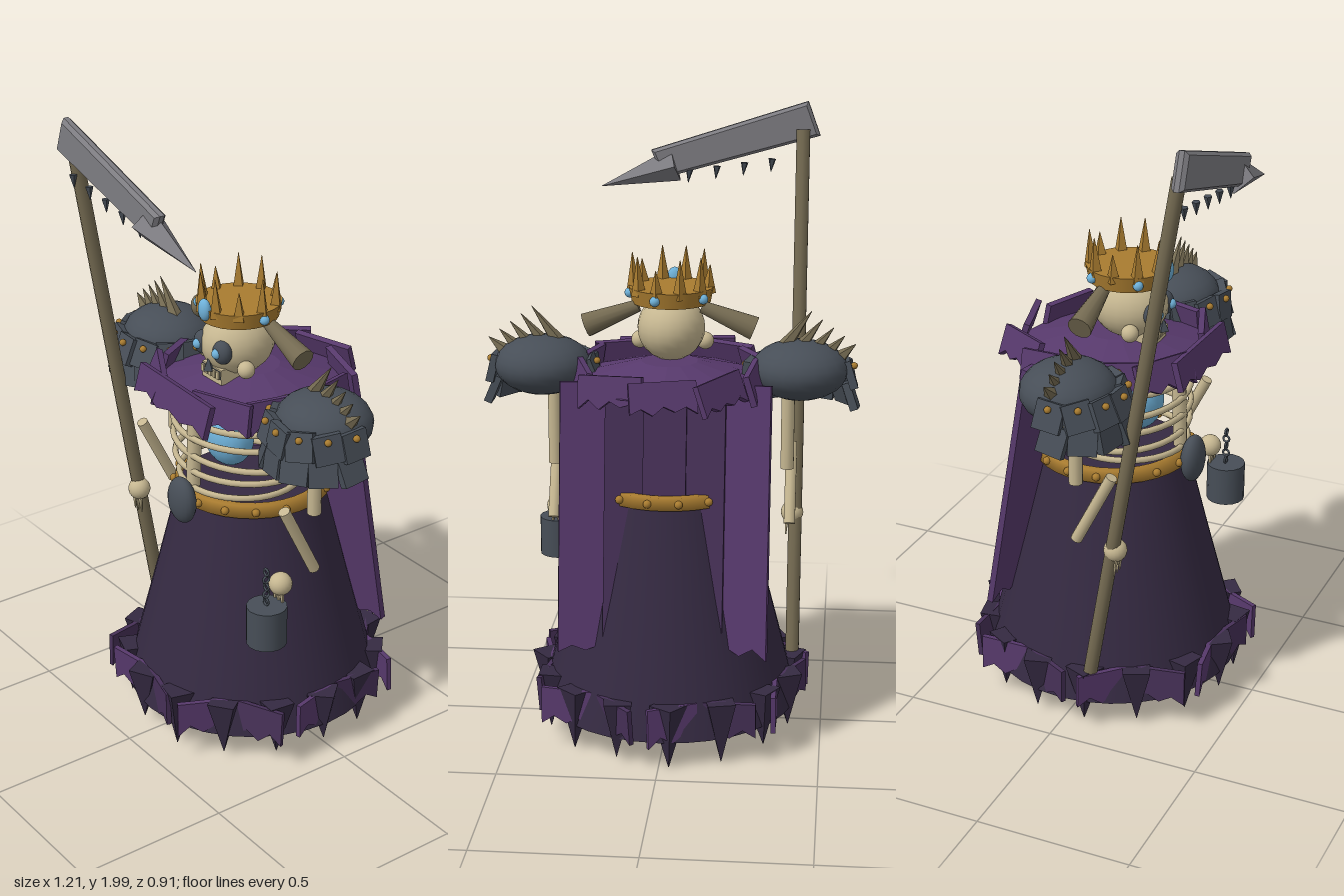
import * as THREE from 'three';

const mat = (name, color, side = THREE.FrontSide) => {
  const m = new THREE.MeshStandardMaterial({ color, side });
  m.name = name;
  return m;
};
const V = (x, y, z) => new THREE.Vector3(x, y, z);

export function createModel() {
  const root = new THREE.Group();
  root.name = 'skeletonReaper';
  const bone = mat('bone', 0xc6b791), oldBone = mat('oldBone', 0x756b52);
  const gold = mat('gold', 0xa97c30), robe = mat('darkRobe', 0x352a42, THREE.DoubleSide);
  const purple = mat('purpleCloth', 0x57396c, THREE.DoubleSide);
  const deepPurple = mat('deepPurpleCloth', 0x463057, THREE.DoubleSide);
  const slate = mat('slate', 0x474e57), steel = mat('steel', 0x7d7c81);
  const blue = mat('soulBlue', 0x6fb2da);

  let seed = 7;
  const rnd = (a) => ((seed = (seed * 16807) % 2147483647) / 2147483647 * 2 - 1) * a;

  // Helpers
  const flat = (g) => {
    const n = g.index ? g.toNonIndexed() : g;
    n.computeVertexNormals();
    return n;
  };
  const add = (name, geo, m, x = 0, y = 0, z = 0, parent = root) => {
    const mesh = new THREE.Mesh(geo, m);
    mesh.name = name;
    mesh.position.set(x, y, z);
    parent.add(mesh);
    return mesh;
  };
  const ball = (name, m, x, y, z, rx, ry = rx, rz = rx, parent = root) => {
    const b = add(name, new THREE.SphereGeometry(1, 20, 14), m, x, y, z, parent);
    b.scale.set(rx, ry, rz);
    return b;
  };
  // Tapered rod from a (radius ra) to b (radius rb); few sides give facets
  const rod = (name, m, a, b, ra, rb, sides = 10, parent = root) => {
    const d = b.clone().sub(a);
    let g = new THREE.CylinderGeometry(rb, ra, d.length(), sides);
    if (sides < 7) g = flat(g);
    const mesh = add(name, g, m, 0, 0, 0, parent);
    mesh.position.copy(a).add(b).multiplyScalar(0.5);
    mesh.quaternion.setFromUnitVectors(V(0, 1, 0), d.normalize());
    return mesh;
  };
  // Cloth plate with a torn lower edge, hanging from y = 0
  const torn = (w, h, teeth, depth, thick = 0.016) => {
    const s = new THREE.Shape();
    s.moveTo(w / 2, 0);
    s.lineTo(-w / 2, 0);
    for (let i = 0; i <= teeth; i++) s.lineTo(-w / 2 + (w * i) / teeth, -h + (i % 2 ? depth : 0) + rnd(depth * 0.3));
    s.closePath();
    const g = new THREE.ExtrudeGeometry(s, { depth: thick, bevelEnabled: false });
    return g.translate(0, 0, -thick / 2);
  };

  // Robe skirt, closed at the waist
  add('skirt', new THREE.LatheGeometry([[0.415, 0.1], [0.388, 0.22], [0.31, 0.52], [0.235, 0.82]]
    .map((p) => new THREE.Vector2(...p)), 32), robe);
  add('waistCover', new THREE.CircleGeometry(0.235, 32), robe, 0, 0.82, 0).rotation.x = -Math.PI / 2;

  // Torn hem plates, twisted most on the diagonals, and hanging points
  for (let i = 0; i < 14; i++) {
    const a = (i / 14) * Math.PI * 2 + 0.1;
    const diagonal = Math.abs(Math.sin(2 * a)), r = 0.4 + diagonal * 0.022;
    const p = add('hemPlate', torn(0.165, 0.12, 4, 0.03), i % 2 ? purple : deepPurple, Math.sin(a) * r, 0.22, Math.cos(a) * r);
    p.rotation.set(rnd(0.1), a + (i % 2 ? 1 : -1) * (0.3 + diagonal * 0.3), 0, 'YXZ');
  }
  for (let i = 0; i < 15; i++) {
    const a = ((i + 0.5) / 15) * Math.PI * 2 - 0.34;
    const s = Math.sin(a), c = Math.cos(a), tip = 0.012 + Math.abs(rnd(0.03));
    rod('hemPoint', robe, V(s * 0.395, 0.22, c * 0.395), V(s * 0.405, tip, c * 0.405), 0.062, 0.001, 4);
  }

  // Foot bones
  for (const s of [-1, 1]) {
    rod('footBone', bone, V(s * 0.16, 0.11, -0.03), V(s * 0.16, 0.11, 0.13), 0.028, 0.028);
    ball('toe', bone, s * 0.16, 0.105, 0.13, 0.032);
  }

  // Belt ring, studs and buckle
  add('belt', new THREE.LatheGeometry([[0.222, 0.81], [0.254, 0.81], [0.246, 0.85], [0.222, 0.85]]
    .map((p) => new THREE.Vector2(...p)), 32), gold);
  for (let i = 0; i < 16; i++) {
    const a = ((i + 0.5) / 16) * Math.PI * 2;
    ball('beltStud', gold, Math.sin(a) * 0.252, 0.83, Math.cos(a) * 0.252, 0.013);
  }
  ball('buckle', slate, 0, 0.83, 0.275, 0.062, 0.078, 0.036);

  // Rib cage around the glowing soul
  [[0.87, 0.2], [0.925, 0.235], [0.98, 0.25], [1.04, 0.245], [1.1, 0.23]].forEach(([y, r], i) => {
    const rib = add('rib', new THREE.TorusGeometry(1, 0.048, 8, 36), bone, 0, y, 0.045);
    rib.rotation.set(Math.PI / 2, (i % 2 ? 1 : -1) * 0.02, 0);
    rib.scale.set(r, 0.195, 0.23);
  });
  rod('sternum', bone, V(0, 0.87, 0.23), V(0, 1.17, 0.22), 0.022, 0.024);
  ball('soul', blue, 0, 1.005, 0.09, 0.09, 0.1, 0.075);

  // Mantle
  add('mantleTop', flat(new THREE.CylinderGeometry(0.09, 0.3, 0.06, 14)), purple, 0, 1.2, 0);
  for (let i = 0; i < 10; i++) {
    const a = (i / 10) * Math.PI * 2;
    const p = add('mantlePlate', torn(i ? 0.21 : 0.38, 0.1, 6, 0.02, 0.02), purple,
      Math.sin(a) * 0.275, 1.235, Math.cos(a) * 0.285);
    p.rotation.set(-0.3 + rnd(0.15), a + (i ? rnd(0.35) : 0), rnd(0.06), 'YXZ');
  }

  // Cape strips sloping down the back
  for (let i = -2; i <= 2; i++) {
    const outer = Math.abs(i) === 2;
    const p = add('capeStrip', torn(outer ? 0.175 : 0.135, outer ? 0.86 : 0.8, 4, 0.025, 0.022),
      outer ? purple : deepPurple, i * 0.122, 1.19, -0.138 + rnd(0.006));
    p.rotation.set(0.165, i * 0.1, 0);
  }

  // Skull
  ball('skull', bone, 0, 1.325, 0.055, 0.108, 0.105, 0.122);
  add('jaw', new THREE.BoxGeometry(0.1, 0.05, 0.09), bone, 0, 1.238, 0.11);
  add('nose', flat(new THREE.ConeGeometry(0.02, 0.045, 4)), slate, 0, 1.275, 0.167);
  add('mouth', new THREE.BoxGeometry(0.095, 0.026, 0.008), slate, 0, 1.245, 0.154);
  for (let i = -2; i <= 2; i++) add('tooth', new THREE.BoxGeometry(0.013, 0.024, 0.012), bone, i * 0.019, 1.245, 0.158);
  for (const s of [-1, 1]) {
    ball('cheek', bone, s * 0.105, 1.272, 0.1, 0.028);
    ball('eyeSocket', slate, s * 0.05, 1.325, 0.15, 0.036, 0.039, 0.028);
    ball('eye', blue, s * 0.05, 1.325, 0.171, 0.017);
    rod('horn', oldBone, V(s * 0.1, 1.403, 0.01), V(s * 0.267, 1.337, 0.005), 0.02, 0.039, 12);
  }

  // Crown with points and gems
  add('crownBand', new THREE.CylinderGeometry(0.135, 0.125, 0.05, 24), gold, 0, 1.435, 0.05);
  for (let i = 0; i < 10; i++) {
    const a = ((i + 0.5) / 10) * Math.PI * 2, s = Math.sin(a), c = Math.cos(a);
    rod('crownPoint', gold, V(s * 0.118, 1.44, 0.05 + c * 0.118), V(s * 0.123, i % 3 === 1 ? 1.53 : 1.565, 0.05 + c * 0.123), 0.024, 0.001, 4);
    if (i && i % 2 === 0) ball('crownGem', blue, s * 0.132, 1.435, 0.05 + c * 0.132, 0.016);
  }
  ball('frontGem', blue, 0, 1.457, 0.18, 0.025, 0.036, 0.018);

  // Arms and shoulder armour, mirrored
  for (const s of [-1, 1]) {
    rod('upperArm', bone, V(s * 0.375, 1.15, 0.04), V(s * 0.375, 0.87, 0.04), 0.022, 0.022);
    rod('forearm', bone, V(s * 0.385, 0.92, 0.165), V(s * 0.385, 0.68, 0.045), 0.019, 0.019);
    ball('hand', bone, s * 0.39, 0.675, 0.18, 0.037);
    for (let i = -1; i <= 1; i++)
      rod('finger', bone, V(s * 0.39 + i * 0.018, 0.655, 0.19), V(s * 0.39 + i * 0.02, 0.595, 0.185), 0.008, 0.002, 5);

    const armour = new THREE.Group();
    armour.name = 'shoulderArmour';
    armour.position.set(s * 0.41, 1.2, 0.035);
    root.add(armour);
    ball('shoulderDome', slate, 0, 0, 0, 0.155, 0.095, 0.148, armour);
    for (let row = 0; row < 2; row++) {
      for (let i = 0; i < 7; i++) {
        const t = 0.08 + i * 0.5 + row * 0.08, r = 0.16 + row * 0.006;
        const x = Math.cos(t) * r * s, z = Math.sin(t) * (r + 0.008);
        const plate = add('shoulderPlate', new THREE.BoxGeometry(0.088, 0.09, 0.026), slate, x, -0.015 - row * 0.074, z, armour);
        plate.rotation.set(-0.28 + rnd(0.15), Math.atan2(x, z) + rnd(0.2), rnd(0.15), 'YXZ');
        if (!row) ball('shoulderStud', gold, x * 1.08, 0.012, z * 1.08, 0.011, 0.011, 0.011, armour);
      }
    }
    for (let i = 0; i < 5; i++) {
      const x = -0.05 + i * 0.043;
      rod('shoulderSpike', oldBone, V(s * x, 0.07 - i * 0.008, 0.005), V(s * (x + 0.085 - i * 0.008), 0.188 - i * 0.026, 0.005), 0.025, 0.001, 5, armour);
    }
  }

  // Hanging lantern on a chain
  add('lantern', new THREE.CylinderGeometry(0.064, 0.064, 0.13, 16), slate, 0.395, 0.555, 0.237);
  for (let i = 0; i < 5; i++) {
    const link = add('chainLink', new THREE.TorusGeometry(0.011, 0.004, 6, 10), slate, 0.392, 0.632 + i * 0.026, 0.237);
    link.rotation.y = (i % 2) * Math.PI / 2;
  }

  // Scythe: leaning shaft, bevelled slab blade, pointed tip and small teeth
  rod('scytheShaft', oldBone, V(-0.4, 0.2, 0.095), V(-0.4, 1.91, 0.378), 0.023, 0.023, 10);
  const slab = new THREE.Shape([[-0.455, 1.89], [0.055, 1.745], [0.095, 1.836], [-0.415, 2.0]].map((p) => new THREE.Vector2(...p)));
  add('scytheBlade', new THREE.ExtrudeGeometry(slab, {
    depth: 0.016, bevelThickness: 0.012, bevelSize: 0.01, bevelOffset: -0.01, bevelSegments: 1,
  }), steel, 0, 0, 0.384);
  rod('scytheTip', steel, V(0.015, 1.79, 0.39), V(0.258, 1.715, 0.39), 0.056, 0.001, 4);
  for (let i = 0; i < 5; i++) {
    const x = -0.39 + i * 0.09, y = 1.825 - i * 0.013;
    rod('bladeTooth', slate, V(x, y, 0.39), V(x + 0.004, y - 0.042, 0.39), 0.013, 0.001, 5);
  }
  return root;
}
